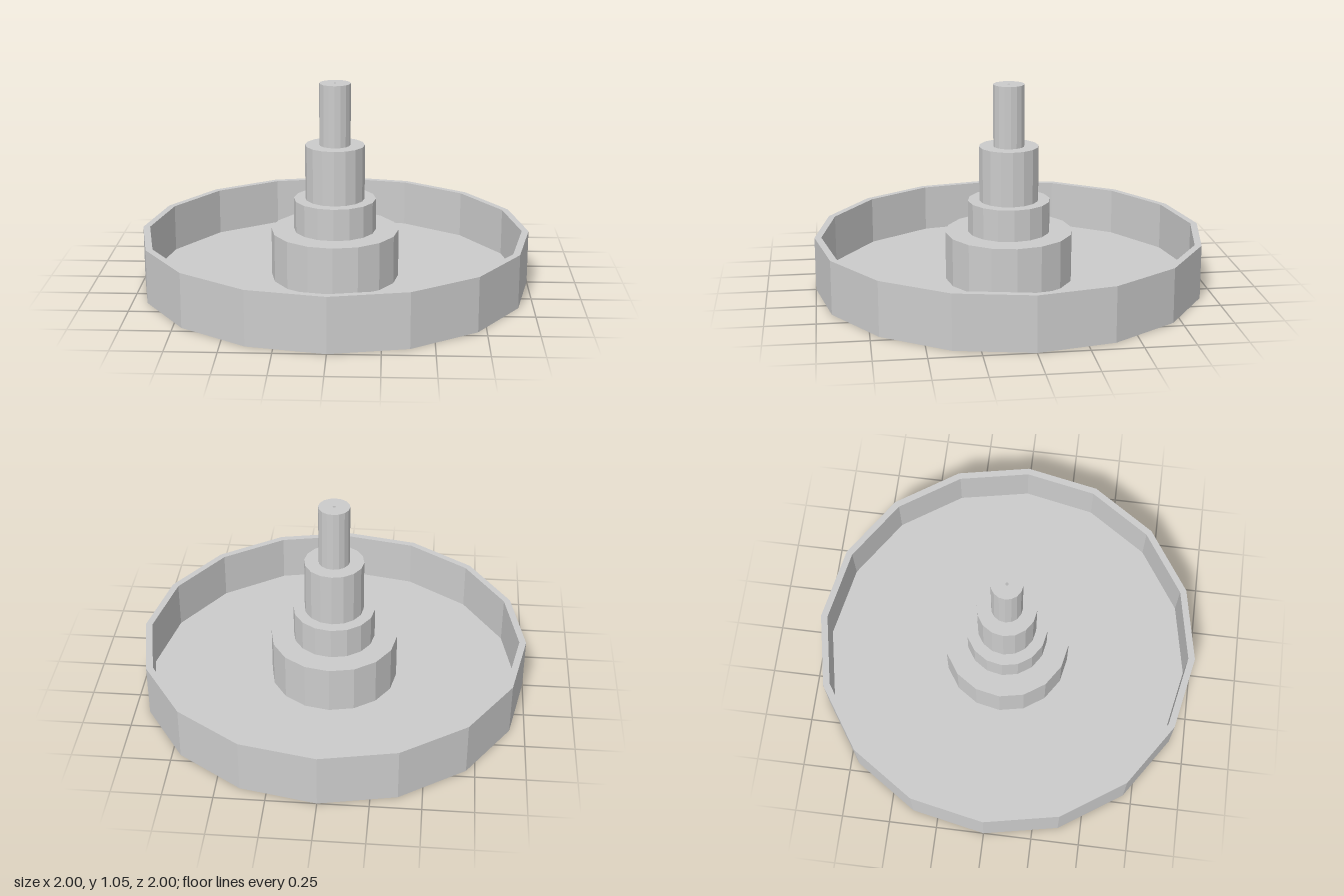
import * as THREE from 'three';

const SIDES = 16;

export function createModel() {
  const model = new THREE.Group();
  const material = new THREE.MeshStandardMaterial({
    color: 0xcccccc, flatShading: true, side: THREE.DoubleSide,
  });

  // Revolves a [radius, height] profile, listed from bottom/outside to top/inside
  const revolve = (name, profile) => {
    const points = profile.map(([r, y]) => new THREE.Vector2(r, y));
    const mesh = new THREE.Mesh(new THREE.LatheGeometry(points, SIDES), material);
    mesh.name = name;
    model.add(mesh);
  };

  // Tray: outer wall, flat lip and inner wall folded from one thin sheet
  revolve('trayRim', [[1, 0], [1, 0.278], [0.965, 0.278], [0.965, 0.03]]);
  revolve('trayFloor', [[0.965, 0.03], [0.33, 0.03]]);

  // Hollow stepped spindle, each step a wall and the ledge above it
  revolve('hub', [[0.33, 0.03], [0.33, 0.281], [0.212, 0.281]]);
  revolve('lowerCollar', [[0.212, 0.281], [0.212, 0.446], [0.153, 0.446]]);
  revolve('upperCollar', [[0.153, 0.446], [0.153, 0.73], [0.08, 0.73]]);
  // Shaft with a pin-sized hole in its cap
  revolve('shaft', [[0.08, 0.73], [0.08, 1.05], [0.008, 1.05]]);

  return model;
}
